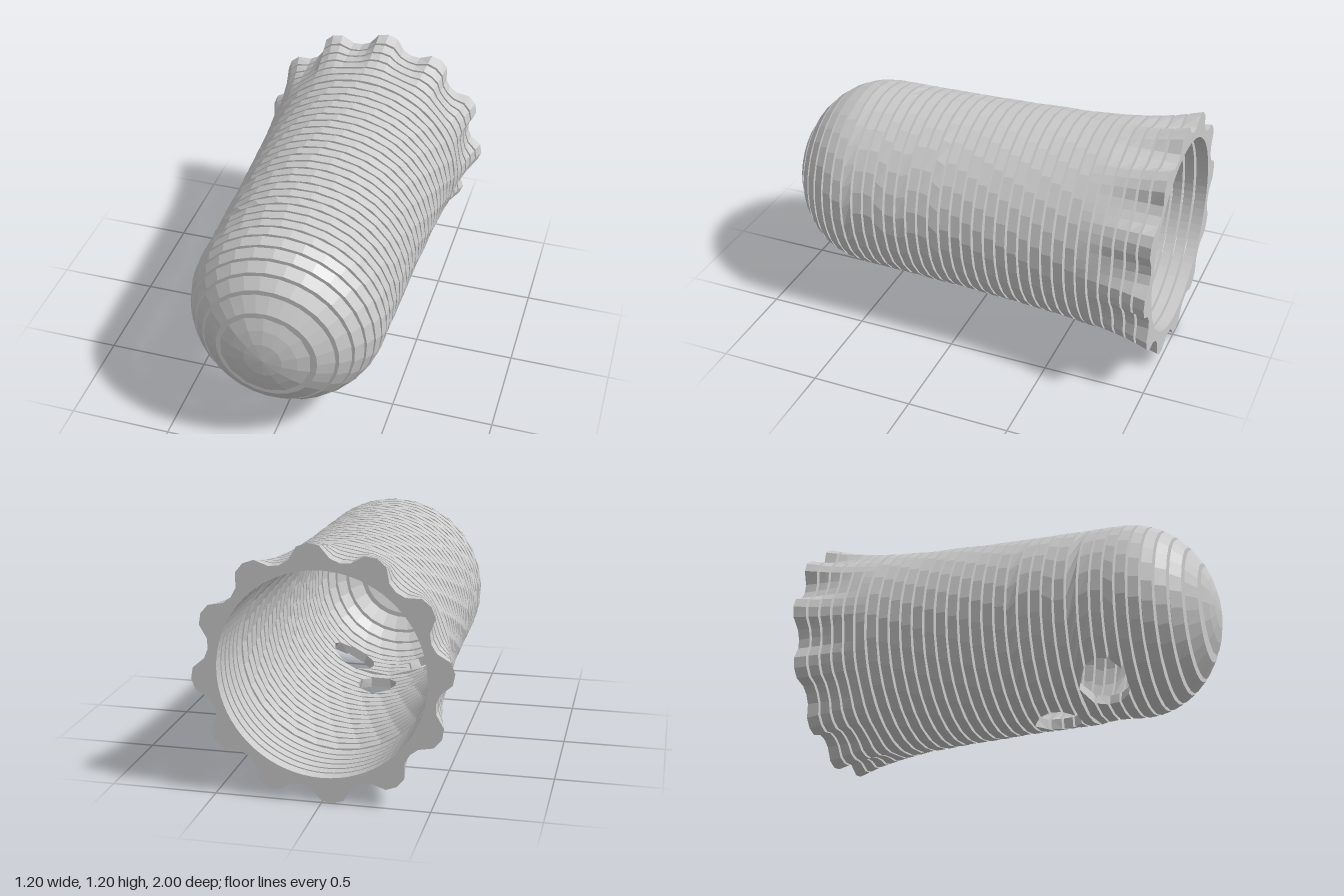
import * as THREE from 'three';

const CY = 0.6, SLICES = 34, PITCH = 2 / SLICES, GAP = 0.012;
const TEETH = 12, PHASE = THREE.MathUtils.degToRad(85), VALLEY = 0.525, WALL = 0.05;

// Flaring tube radius, front to back, as [z, radius]
const PROFILE = [[0.58, 0.478], [0, 0.489], [-0.4, 0.505], [-0.6, 0.518], [-0.75, 0.538], [-0.88, 0.565], [-1, 0.602]];

// Round holes through the underside
const HOLES = [
  { x: -0.23, z: 0.47, r: 0.12 },
  { x: 0, z: 0.18, r: 0.11 },
  { x: 0.21, z: 0.46, r: 0.12 },
];

function tubeRadius(z) {
  for (let i = 1; i < PROFILE.length; i++) {
    const [z0, r0] = PROFILE[i - 1], [z1, r1] = PROFILE[i];
    if (z >= z1) return r0 + (r1 - r0) * (z - z0) / (z1 - z0);
  }
  return PROFILE[PROFILE.length - 1][1];
}

const dome = (z, length, radius) => radius * Math.sqrt(Math.max(0, 1 - ((z - 0.58) / length) ** 2));

// Outer surface: rounded nose, plain tube, then a scalloped flare
function outerRadius(z, a) {
  if (z > 0.58) return dome(z, 0.42, 0.478);
  const r = tubeRadius(z);
  if (r <= VALLEY) return r;
  const s = THREE.MathUtils.smoothstep(0.5 + 0.5 * Math.cos(TEETH * (a - PHASE)), 0, 1);
  return VALLEY + (r - VALLEY) * s;
}

function innerRadius(z) {
  if (z > 0.58) return dome(z, 0.42 - WALL, 0.478 - WALL);
  return Math.min(tubeRadius(z), 0.53) - WALL;
}

// Slices lean slightly, except at the two ends
function point(z, a, inner) {
  const lean = 0.02 * Math.sin(a) * (1 - z ** 4);
  const zz = z + lean;
  const r = inner ? innerRadius(zz) : outerRadius(zz, a);
  return [r * Math.cos(a), CY + r * Math.sin(a), zz];
}

// Angles [front, back] where a slice meets one side of a hole
function holeEdge(h, zs, side) {
  return zs.map((z) => {
    const zz = z - 0.018;
    const w = Math.sqrt(Math.max(0, h.r ** 2 - (zz - h.z) ** 2));
    return -Math.PI / 2 + Math.asin((h.x + side * w) / 0.48);
  });
}

// Sweeps the four-cornered wall section along an arc; closes the ends if open
function addArc(out, zs, from, to, sides, open) {
  const quad = (a, b, c, d) => out.push(...a, ...b, ...c, ...a, ...c, ...d);
  const rows = [];
  for (let i = 0; i <= sides; i++) {
    const [af, ab] = [0, 1].map((k) => THREE.MathUtils.lerp(from[k], to[k], i / sides));
    rows.push([point(zs[0], af, false), point(zs[1], ab, false), point(zs[1], ab, true), point(zs[0], af, true)]);
  }
  for (let i = 0; i < sides; i++) {
    for (let k = 0; k < 4; k++) {
      const n = (k + 1) % 4;
      quad(rows[i][k], rows[i][n], rows[i + 1][n], rows[i + 1][k]);
    }
  }
  if (open) {
    const [A, B, C, D] = rows[0];
    quad(A, D, C, B);
    quad(...rows[sides]);
  }
}

function ringGeometry(index, zs) {
  const out = [];
  const cuts = HOLES.filter((h) => Math.abs((zs[0] + zs[1]) / 2 - 0.018 - h.z) < h.r);
  if (!cuts.length) {
    const scalloped = tubeRadius(zs[1]) > VALLEY;
    const start = scalloped ? PHASE : index * 0.4;
    const end = start + Math.PI * 2;
    addArc(out, zs, [start, start], [end, end], scalloped ? TEETH * 6 : 28, false);
  }
  cuts.forEach((h, i) => {
    const last = i === cuts.length - 1;
    const from = holeEdge(h, zs, 1);
    const to = holeEdge(cuts[(i + 1) % cuts.length], zs, -1).map((a) => a + (last ? Math.PI * 2 : 0));
    addArc(out, zs, from, to, Math.max(2, Math.round((to[0] - from[0]) * 4.5)), true);
  });
  const geometry = new THREE.BufferGeometry();
  geometry.setAttribute('position', new THREE.Float32BufferAttribute(out, 3));
  geometry.computeVertexNormals();
  return geometry;
}

export function createModel() {
  const group = new THREE.Group();
  group.name = 'slicedShell';
  const material = new THREE.MeshStandardMaterial({ color: 0xcccccc, flatShading: true, side: THREE.DoubleSide });

  // Solid nose cap
  const back = 1 - PITCH + GAP;
  const capPoints = [new THREE.Vector2(0, back)];
  for (const z of [back, 0.975, 0.992, 1]) capPoints.push(new THREE.Vector2(dome(z, 0.42, 0.478), z));
  const cap = new THREE.Mesh(new THREE.LatheGeometry(capPoints, 14).rotateX(Math.PI / 2), material);
  cap.name = 'noseCap';
  cap.position.y = CY;
  group.add(cap);

  // Separate rings back to the scalloped rim
  for (let i = 1; i < SLICES; i++) {
    const front = 1 - i * PITCH;
    const rear = i === SLICES - 1 ? -1 : front - PITCH + GAP;
    const ring = new THREE.Mesh(ringGeometry(i, [front, rear]), material);
    ring.name = i === SLICES - 1 ? 'scallopedRim' : `ring${i}`;
    group.add(ring);
  }
  return group;
}
